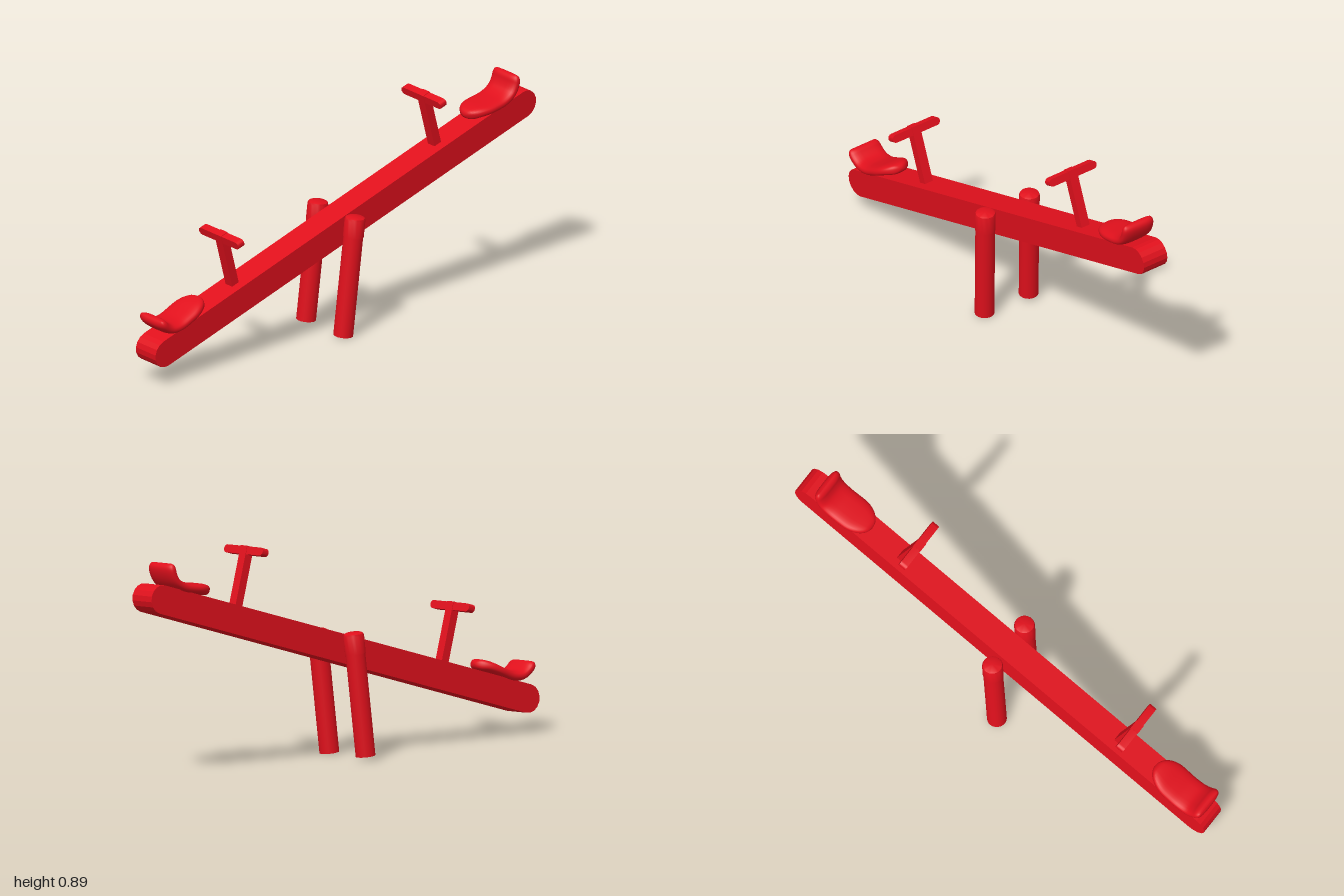
import * as THREE from 'three';
import { toCreasedNormals } from 'three/addons/utils/BufferGeometryUtils.js';

const red = new THREE.MeshStandardMaterial({ color: 0xe0101c });

function part(name, geometry, x = 0, y = 0, z = 0) {
  const mesh = new THREE.Mesh(geometry, red);
  mesh.name = name;
  mesh.position.set(x, y, z);
  return mesh;
}

// Round-ended bar: length along x, height along y, depth along z, centred
function stadium(length, height, depth) {
  const r = height / 2, a = length / 2 - r;
  const shape = new THREE.Shape();
  shape.moveTo(-a, -r);
  shape.lineTo(a, -r);
  shape.absarc(a, 0, r, -Math.PI / 2, Math.PI / 2, false);
  shape.lineTo(-a, r);
  shape.absarc(-a, 0, r, Math.PI / 2, Math.PI * 1.5, false);
  const geometry = new THREE.ExtrudeGeometry(shape, { depth, bevelEnabled: false, curveSegments: 4 });
  return geometry.translate(0, 0, -depth / 2);
}

// Curved seat pad: soft cross-sections lofted along a spine from nose to raised back
function seatGeometry() {
  const spine = new THREE.CatmullRomCurve3([
    [0.725, 0.083], [0.77, 0.084], [0.83, 0.075], [0.89, 0.07], [0.935, 0.082], [0.964, 0.112], [0.978, 0.145],
  ].map(([z, y]) => new THREE.Vector3(0, y, z)));
  const stations = 32, around = 28, positions = [], index = [];
  const round = (u, span) => (u >= span ? 1 : Math.sqrt(Math.max(0, 1 - (1 - u / span) ** 2)));
  const soft = (v, p) => Math.sign(v) * Math.abs(v) ** p;
  for (let i = 0; i <= stations; i++) {
    const u = 0.5 - 0.5 * Math.cos((Math.PI * i) / stations);
    const p = spine.getPointAt(u), t = spine.getTangentAt(u);
    const halfWidth = 0.073 * round(u, 0.34) * (0.75 + 0.25 * round(1 - u, 0.1));
    const halfHeight = 0.021 * round(u, 0.08) * round(1 - u, 0.08);
    for (let j = 0; j < around; j++) {
      const a = (j / around) * Math.PI * 2;
      const h = halfHeight * soft(Math.sin(a), 0.8);
      positions.push(halfWidth * soft(Math.cos(a), 0.6), p.y + t.z * h, p.z - t.y * h);
      if (i < stations) {
        const b = i * around + j, c = i * around + ((j + 1) % around);
        index.push(b, c, b + around, c, c + around, b + around);
      }
    }
  }
  const geometry = new THREE.BufferGeometry();
  geometry.setAttribute('position', new THREE.Float32BufferAttribute(positions, 3));
  geometry.setIndex(index);
  geometry.computeVertexNormals();
  return geometry;
}

export function createModel() {
  const model = new THREE.Group();
  model.name = 'seesaw';

  // The whole seesaw leans a little to its left
  const frame = new THREE.Group();
  frame.name = 'leaningFrame';
  frame.position.set(-0.016, 0.011, 0);
  frame.rotation.z = -0.053;
  model.add(frame);

  // Two posts with slightly wider caps
  const capProfile = [[0, 0], [0.041, 0], [0.041, 0.07], [0.038, 0.078], [0.03, 0.082], [0, 0.084]]
    .map(([r, y]) => new THREE.Vector2(r, y));
  const capGeometry = toCreasedNormals(new THREE.LatheGeometry(capProfile, 24), 0.7);
  const postGeometry = new THREE.CylinderGeometry(0.039, 0.039, 0.41, 24);
  for (const side of [1, -1]) {
    const post = new THREE.Group();
    post.name = side > 0 ? 'leftPost' : 'rightPost';
    post.position.set(side * 0.107, 0, 0.04);
    post.rotation.x = -0.083;
    post.add(part('postShaft', postGeometry, 0, 0.205, 0), part('postCap', capGeometry, 0, 0.41, 0));
    frame.add(post);
  }

  // Tilted plank
  const board = new THREE.Group();
  board.name = 'board';
  board.position.y = 0.422;
  board.rotation.x = 0.304;
  frame.add(board);
  board.add(part('beam', stadium(2.092, 0.113, 0.113).rotateY(Math.PI / 2)));

  // Matching seat and handle at each end
  const seat = seatGeometry();
  const barGeometry = toCreasedNormals(stadium(0.228, 0.032, 0.032), 0.7);
  const stemGeometry = new THREE.BoxGeometry(0.038, 0.25, 0.036);
  for (const front of [true, false]) {
    const end = new THREE.Group();
    end.name = front ? 'frontEnd' : 'backEnd';
    end.rotation.y = front ? 0 : Math.PI;
    end.add(
      part('seat', seat),
      part('handleStem', stemGeometry, 0, 0.171, 0.557),
      part('handlebar', barGeometry, 0, 0.278, 0.557),
    );
    board.add(end);
  }
  return model;
}
